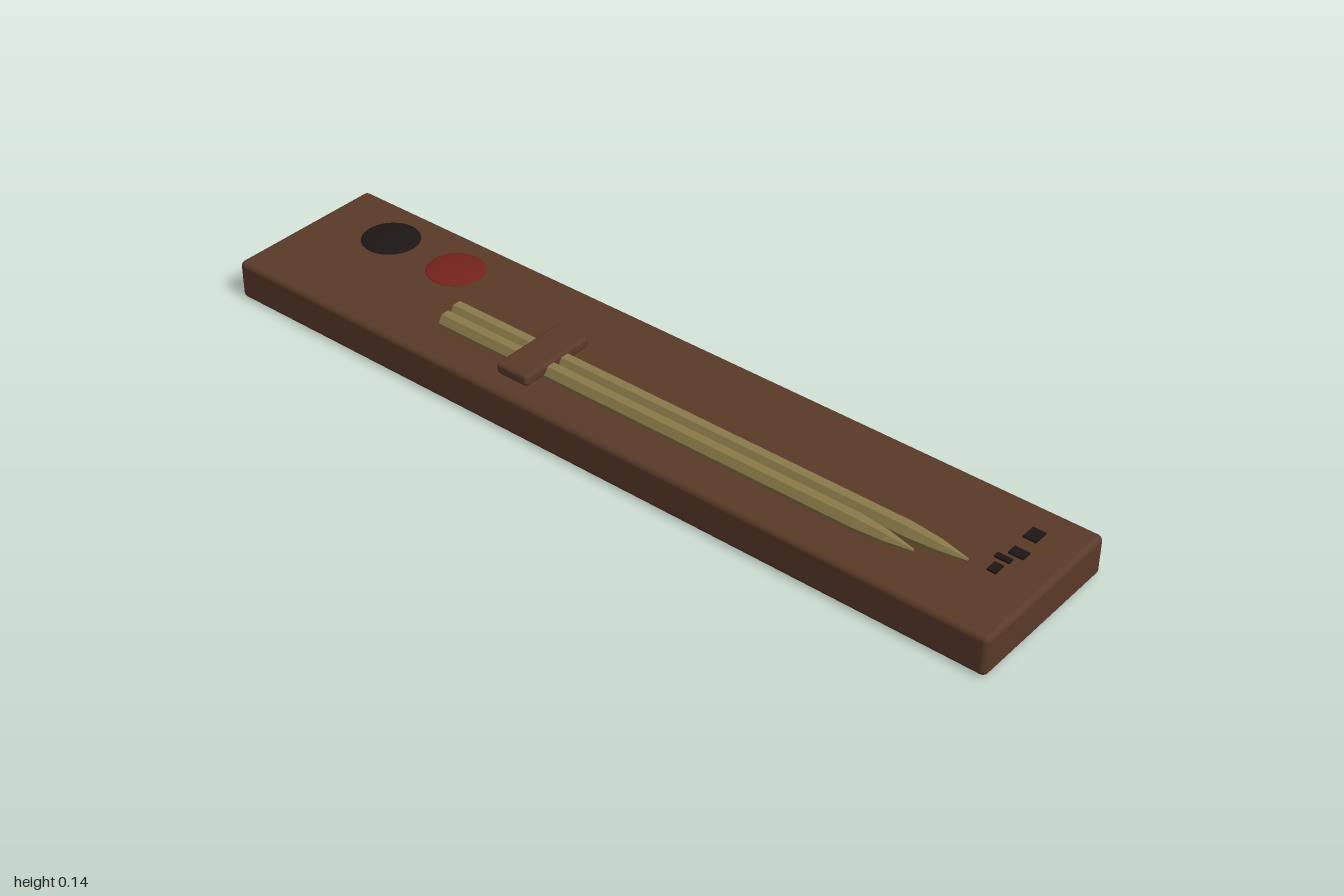
import * as THREE from 'three';
import { RoundedBoxGeometry } from 'three/addons/geometries/RoundedBoxGeometry.js';

const TOP = 0.093; // height of the board's upper face

const paint = (color, flatShading = false) => new THREE.MeshStandardMaterial({ color, flatShading });

export function createModel() {
  const root = new THREE.Group();
  root.name = 'writingPalette';
  root.rotation.y = -0.198; // the board lies at a slight diagonal

  const wood = paint(0x5a3a28);
  const reed = paint(0x8a7a4a, true);
  const black = paint(0x1c1714);
  const red = paint(0x74231a);

  const add = (name, geometry, material, x, y, z) => {
    const mesh = new THREE.Mesh(geometry, material);
    mesh.name = name;
    mesh.position.set(x, y, z);
    root.add(mesh);
    return mesh;
  };

  // Long wooden board with softened edges
  add('board', new RoundedBoxGeometry(1.963, TOP, 0.396, 4, 0.013), wood, 0, TOP / 2, 0);

  // Two cakes of ink, shallow domes
  const cake = new THREE.SphereGeometry(0.067, 40, 10, 0, Math.PI * 2, 0, Math.PI / 2);
  cake.scale(1, 0.09, 1);
  add('blackInk', cake, black, -0.791, TOP, -0.083);
  add('redInk', cake, red, -0.593, TOP, -0.083);

  // Six-sided reed pens with tapered tips
  const pen = (name, start, end, z) => {
    const length = end - start;
    const profile = [
      [0, 0], [0.02, 0], [0.02, length - 0.13], [0.014, length - 0.06], [0.003, length], [0, length],
    ].map(([r, h]) => new THREE.Vector2(r, h));
    const geometry = new THREE.LatheGeometry(profile, 6);
    geometry.rotateZ(-Math.PI / 2);
    add(name, geometry, reed, start, 0.112, z);
  };
  pen('longPen', -0.462, 0.837, 0.051);
  pen('shortPen', -0.456, 0.743, 0.093);

  // Crossbar holding the pens down
  add('penHolder', new RoundedBoxGeometry(0.084, 0.028, 0.195, 3, 0.009), wood, -0.2, 0.123, 0.07);

  // Small dark inlays at the far end
  const inlays = [
    [0.881, -0.109, 0.03, 0.036],
    [0.888, -0.045, 0.034, 0.024],
    [0.874, -0.014, 0.034, 0.014],
    [0.878, 0.02, 0.02, 0.028],
  ];
  for (const [x, z, w, d] of inlays) {
    add('inlay', new THREE.BoxGeometry(w, 0.008, d), black, x, TOP, z);
  }

  const model = new THREE.Group();
  model.name = 'model';
  model.add(root);
  return model;
}
